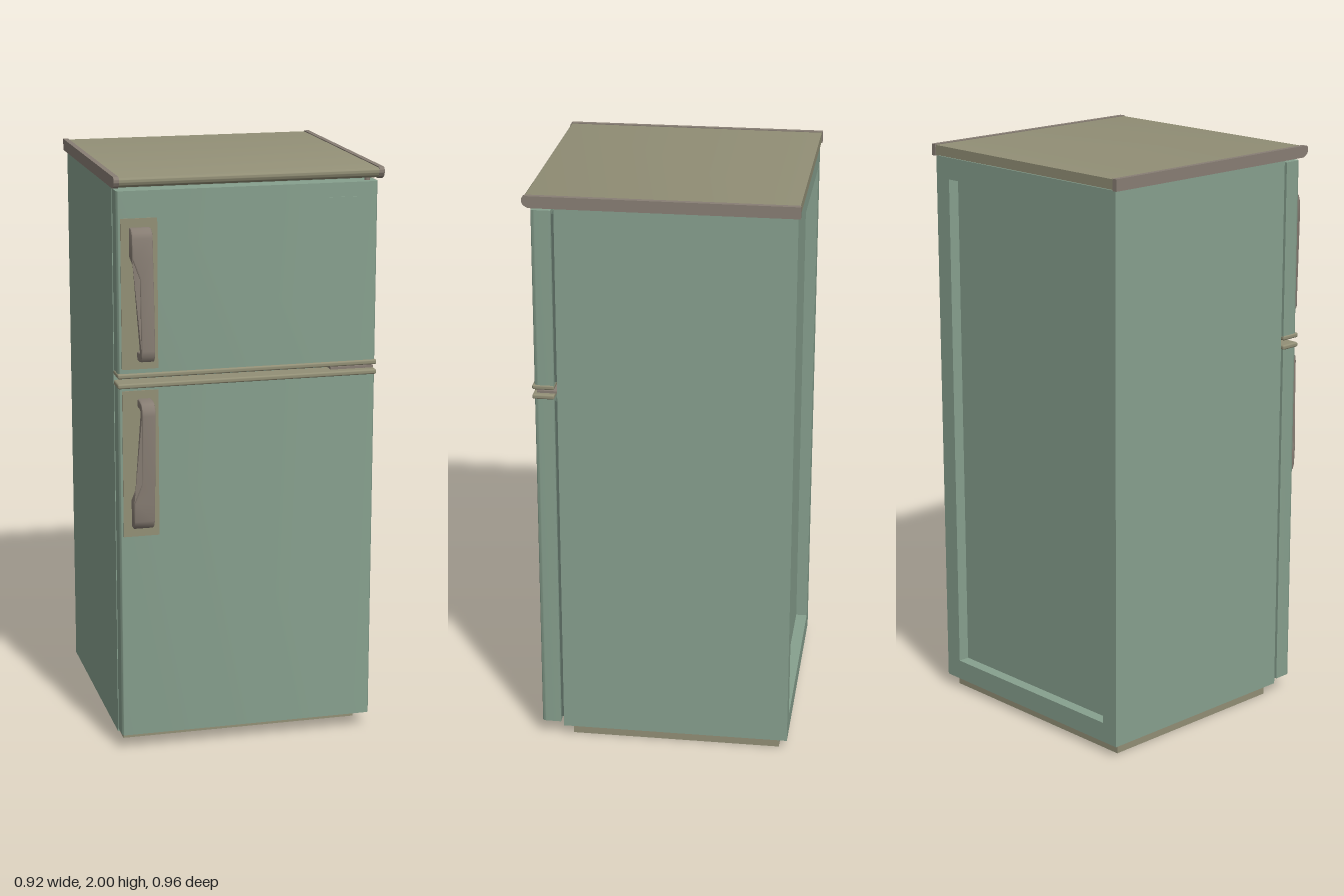
import * as THREE from 'three';
import { toCreasedNormals } from 'three/addons/utils/BufferGeometryUtils.js';
import { RoundedBoxGeometry } from 'three/addons/geometries/RoundedBoxGeometry.js';

const paint = (color) => new THREE.MeshStandardMaterial({ color });

export function createModel() {
  const model = new THREE.Group();
  const green = paint(0x87a08e), tan = paint(0x928f76);
  const taupe = paint(0x887e74), dark = paint(0x5d6f64);

  function add(name, geometry, material) {
    const mesh = new THREE.Mesh(geometry, material);
    mesh.name = name;
    model.add(mesh);
    return mesh;
  }
  // Box given by its lower and upper limits; a radius rounds the edges
  function box(name, material, [x0, x1], [y0, y1], [z0, z1], radius = 0) {
    const size = [x1 - x0, y1 - y0, z1 - z0];
    const geo = radius ? new RoundedBoxGeometry(...size, 3, radius) : new THREE.BoxGeometry(...size);
    geo.translate((x0 + x1) / 2, (y0 + y1) / 2, (z0 + z1) / 2);
    return add(name, geo, material);
  }
  // Side profile of (z, y) points, extruded along x
  function sideExtrude(shape, x0, x1, options = {}) {
    const geo = new THREE.ExtrudeGeometry(shape, { depth: x1 - x0, bevelEnabled: false, ...options });
    return geo.rotateY(-Math.PI / 2).translate(x1, 0, 0);
  }

  // Cabinet with a framed recess in the back
  box('cabinet', green, [-0.445, 0.445], [0.04, 1.96], [-0.43, 0.325]);
  const frame = new THREE.Shape([[-0.445, 0.04], [0.445, 0.04], [0.445, 1.96], [-0.445, 1.96]]
    .map((p) => new THREE.Vector2(...p)));
  frame.holes.push(new THREE.Path([[-0.38, 0.11], [-0.38, 1.885], [0.38, 1.885], [0.38, 0.11]]
    .map((p) => new THREE.Vector2(...p))));
  add('backFrame', new THREE.ExtrudeGeometry(frame, { depth: 0.04, bevelEnabled: false })
    .translate(0, 0, -0.47), green);
  box('base', tan, [-0.42, 0.42], [0, 0.04], [-0.44, 0.295]);

  // Lid with a rounded nose and side caps
  const lid = (grow) => {
    const s = new THREE.Shape();
    s.moveTo(-0.475 - grow, 1.963 - grow);
    s.lineTo(0.405, 1.963 - grow);
    s.quadraticCurveTo(0.425 + grow, 1.968, 0.425 + grow, 1.985);
    s.quadraticCurveTo(0.425 + grow, 1.997 + grow, 0.415, 1.997 + grow);
    s.lineTo(-0.475 - grow, 1.997 + grow);
    return s;
  };
  add('lid', toCreasedNormals(sideExtrude(lid(0), -0.44, 0.44), 0.7), tan);
  for (const side of [-1, 1]) {
    const [x0, x1] = side < 0 ? [-0.458, -0.44] : [0.44, 0.458];
    add('lidSideCap', toCreasedNormals(sideExtrude(lid(0.003), x0, x1), 0.7), taupe);
  }

  // Doors: rounded front corners in plan, with gaskets behind
  function door(name, y0, y1) {
    const w = 0.445, r = 0.015, back = 0.336, front = 0.403;
    const s = new THREE.Shape();
    s.moveTo(-w, -back);
    s.lineTo(-w, -front + r);
    s.quadraticCurveTo(-w, -front, -w + r, -front);
    s.lineTo(w - r, -front);
    s.quadraticCurveTo(w, -front, w, -front + r);
    s.lineTo(w, -back);
    const geo = new THREE.ExtrudeGeometry(s, { depth: y1 - y0, bevelEnabled: false, curveSegments: 6 });
    geo.rotateX(-Math.PI / 2).translate(0, y0, 0);
    add(name, toCreasedNormals(geo, 0.7), green);
    box(name + 'Gasket', dark, [-0.432, 0.432], [y0 + 0.015, y1 - 0.015], [0.324, 0.337]);
  }
  door('freezerDoor', 1.335, 1.95);
  door('fridgeDoor', 0.055, 1.295);

  // Trim strips and hinges
  box('freezerTrim', tan, [-0.448, 0.448], [1.324, 1.341], [0.335, 0.41], 0.006);
  box('fridgeTrim', tan, [-0.448, 0.448], [1.29, 1.307], [0.335, 0.41], 0.006);
  box('middleHinge', taupe, [0.29, 0.44], [1.311, 1.319], [0.32, 0.395]);
  for (const y of [1.3155, 1.956]) {
    add('hingePin', new THREE.CylinderGeometry(0.009, 0.009, 0.02, 12).translate(0.415, y, 0.372), taupe);
  }

  // Raised badge plate
  box('badgePlate', green, [0.265, 0.39], [1.857, 1.902], [0.40, 0.406]);

  // Handle: looped side profile, wide at the mount and narrow along the grip
  function handleGeometry() {
    const profile = [
      [0.402, 1.83], [0.43, 1.83], [0.447, 1.818], [0.453, 1.80], [0.457, 1.735], [0.463, 1.67],
      [0.478, 1.43], [0.476, 1.41], [0.462, 1.392], [0.435, 1.386], [0.402, 1.386],
      [0.402, 1.415], [0.44, 1.417], [0.452, 1.43],
      [0.437, 1.67], [0.43, 1.688], [0.42, 1.693], [0.402, 1.695], [0.402, 1.735],
    ];
    const b = 0.004;
    const s = new THREE.Shape(profile.map((p) => new THREE.Vector2(...p)));
    const geo = sideExtrude(s, -0.401, -0.339, {
      bevelEnabled: true, bevelSize: b, bevelOffset: -b, bevelThickness: b, bevelSegments: 2,
    });
    const pos = geo.attributes.position;
    for (let i = 0; i < pos.count; i++) {
      const t = THREE.MathUtils.smoothstep(pos.getY(i), 1.67, 1.735);
      if (pos.getX(i) < -0.37) pos.setX(i, pos.getX(i) + 0.024 * (1 - t));
    }
    return toCreasedNormals(geo, 0.8);
  }
  // Mirror a geometry about the gap between the doors, keeping faces outward
  function mirrorY(geo) {
    const out = geo.clone().scale(1, -1, 1).translate(0, 2.64, 0);
    for (const key of ['position', 'normal']) {
      const a = out.attributes[key];
      for (let i = 0; i < a.count; i += 3) {
        const p = [a.getX(i), a.getY(i), a.getZ(i)];
        a.setXYZ(i, a.getX(i + 1), a.getY(i + 1), a.getZ(i + 1));
        a.setXYZ(i + 1, ...p);
      }
    }
    return out;
  }
  const handle = handleGeometry();
  add('freezerHandle', handle, taupe);
  add('fridgeHandle', mirrorY(handle), taupe);
  box('freezerHandlePlate', tan, [-0.433, -0.31], [1.355, 1.86], [0.40, 0.406]);
  box('fridgeHandlePlate', tan, [-0.433, -0.31], [0.775, 1.282], [0.40, 0.406]);

  return model;
}
